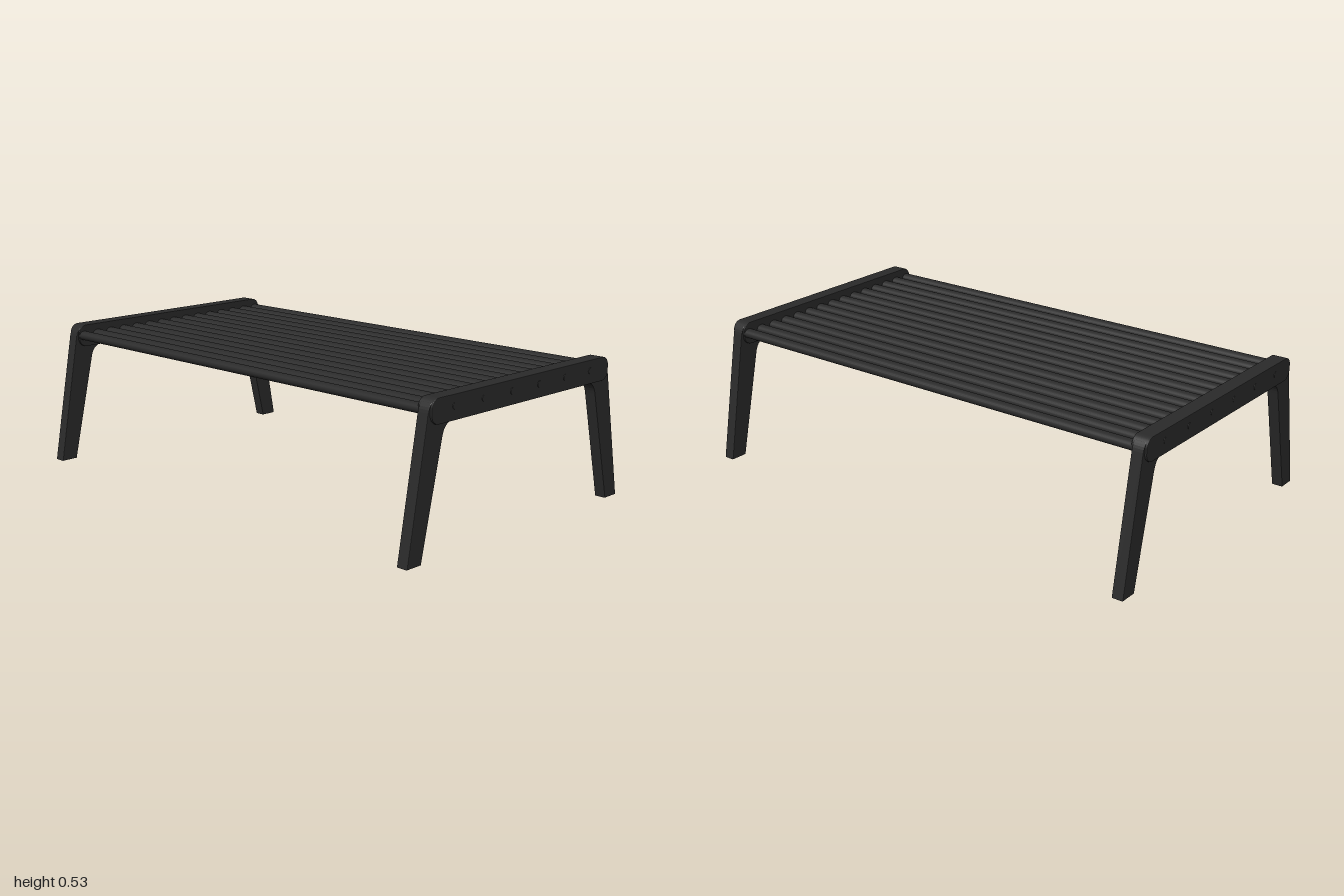
import * as THREE from 'three';

const SIDE_X = 0.902;   // centre of each end frame
const LEG_T = 0.043;    // leg thickness
const RAIL_T = 0.058;   // rail thickness
const SLATS = 15;
const BOLTS = 6;

// Extrude a side profile (drawn in z, y) so its thickness is centred along x
function plate(shape, thickness, bevel) {
  const geo = new THREE.ExtrudeGeometry(shape, {
    depth: thickness - 2 * bevel, bevelEnabled: true, bevelThickness: bevel,
    bevelSize: bevel, bevelOffset: -bevel, bevelSegments: 2, curveSegments: 8,
  });
  geo.translate(0, 0, -(thickness - 2 * bevel) / 2);
  geo.rotateY(Math.PI / 2);
  return geo;
}

// Trestle outline: two splayed legs joined by a bar
function trestleShape() {
  const s = new THREE.Shape();
  s.moveTo(-0.573, 0);
  s.lineTo(-0.485, 0.485);
  s.quadraticCurveTo(-0.477, 0.526, -0.438, 0.526);
  s.lineTo(0.438, 0.526);
  s.quadraticCurveTo(0.477, 0.526, 0.485, 0.485);
  s.lineTo(0.573, 0);
  s.lineTo(0.507, 0);
  s.lineTo(0.414, 0.4);
  s.quadraticCurveTo(0.403, 0.446, 0.358, 0.446);
  s.lineTo(-0.358, 0.446);
  s.quadraticCurveTo(-0.403, 0.446, -0.414, 0.4);
  s.lineTo(-0.507, 0);
  s.closePath();
  return s;
}

// Thicker rail with rounded ends
function railShape() {
  const z = 0.476, y0 = 0.444, y1 = 0.529, r = 0.034;
  const s = new THREE.Shape();
  s.moveTo(-z + r, y0);
  s.lineTo(z - r, y0);
  s.absarc(z - r, y0 + r, r, -Math.PI / 2, 0, false);
  s.absarc(z - r, y1 - r, r, 0, Math.PI / 2, false);
  s.absarc(-z + r, y1 - r, r, Math.PI / 2, Math.PI, false);
  s.absarc(-z + r, y0 + r, r, Math.PI, Math.PI * 1.5, false);
  return s;
}

export function createModel() {
  const black = new THREE.MeshStandardMaterial({ color: 0x2a2a2a });
  black.name = 'charcoal';
  const bench = new THREE.Group();
  bench.name = 'bench';

  const add = (parent, geo, name, x = 0, y = 0, z = 0) => {
    const mesh = new THREE.Mesh(geo, black);
    mesh.name = name;
    mesh.position.set(x, y, z);
    parent.add(mesh);
  };

  const legGeo = plate(trestleShape(), LEG_T, 0.002);
  const railGeo = plate(railShape(), RAIL_T, 0.002);
  const boltGeo = new THREE.CylinderGeometry(0.011, 0.012, 0.006, 20);
  boltGeo.rotateZ(-Math.PI / 2);

  // End frames: legs, rail and a row of nearly flush bolts on the outer face
  for (const side of [1, -1]) {
    const frame = new THREE.Group();
    frame.name = side > 0 ? 'leftFrame' : 'rightFrame';
    frame.position.x = side * SIDE_X;
    if (side < 0) frame.rotation.y = Math.PI;
    add(frame, legGeo, 'legs');
    add(frame, railGeo, 'rail');
    for (let i = 0; i < BOLTS; i++) {
      add(frame, boltGeo, 'bolt', RAIL_T / 2 - 0.0015, 0.491, (i - (BOLTS - 1) / 2) * 0.1465);
    }
    bench.add(frame);
  }

  // Slats of slightly flattened round section spanning between the frames
  const slatGeo = new THREE.CylinderGeometry(0.0175, 0.0175, SIDE_X * 2, 24);
  slatGeo.rotateZ(Math.PI / 2);
  slatGeo.scale(1, 1, 1.25);
  for (let i = 0; i < SLATS; i++) {
    add(bench, slatGeo, 'slat', 0, 0.488, (i - (SLATS - 1) / 2) * 0.0648);
  }

  // The whole bench stands slightly turned
  bench.rotation.y = -0.153;
  const model = new THREE.Group();
  model.name = 'slattedBench';
  model.add(bench);
  return model;
}
